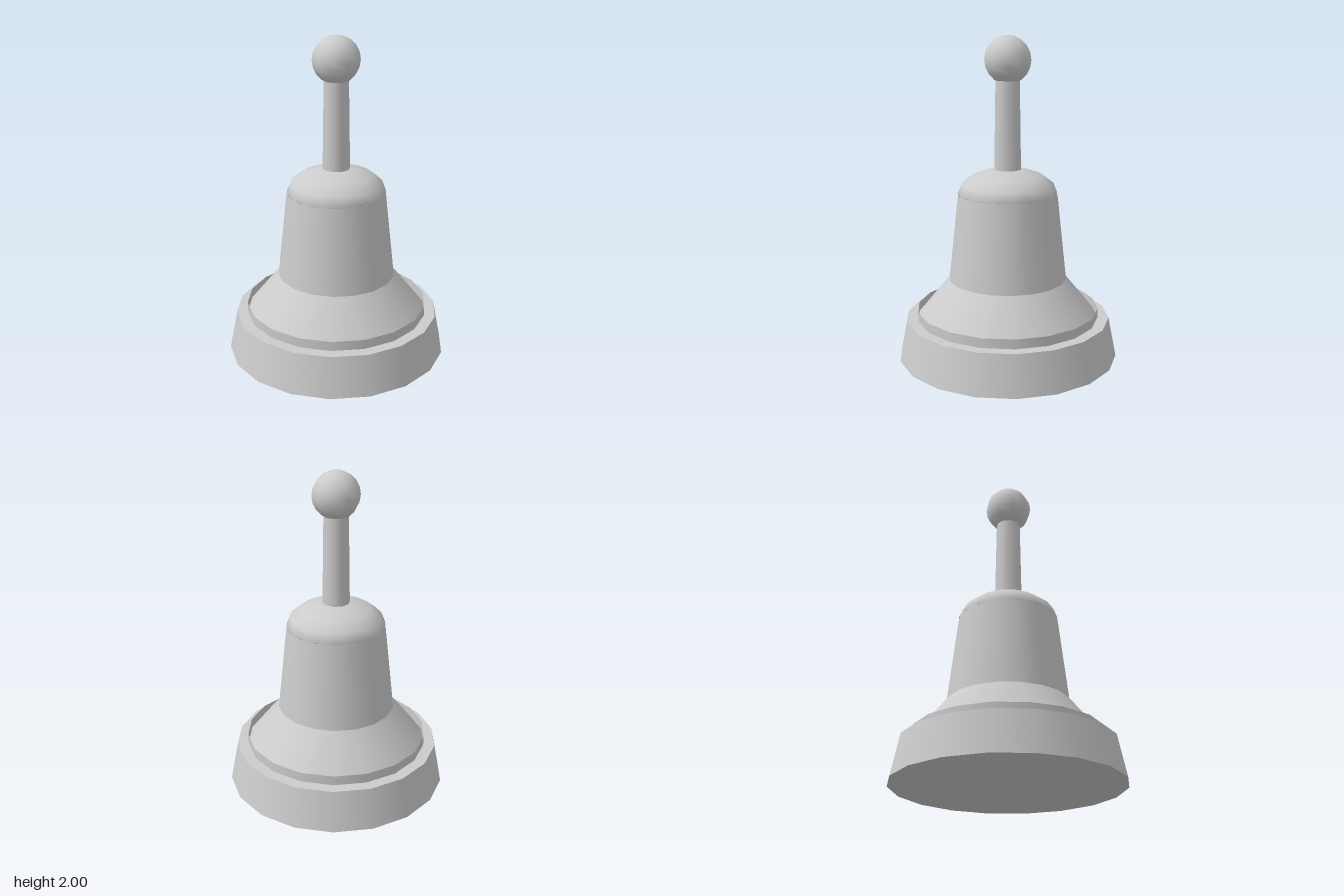
import * as THREE from 'three';

const solid = new THREE.MeshStandardMaterial({ color: 0xcccccc });
const shell = new THREE.MeshStandardMaterial({ color: 0xcccccc, side: THREE.DoubleSide });

// Tapered round section between heights y0 and y1, with a corner on the x axis
function section(name, r0, r1, y0, y1, sides, open) {
  const geometry = new THREE.CylinderGeometry(r1, r0, y1 - y0, sides, 1, open);
  geometry.rotateY(Math.PI / 2);
  geometry.translate(0, (y0 + y1) / 2, 0);
  const mesh = new THREE.Mesh(geometry, open ? shell : solid);
  mesh.name = name;
  return mesh;
}

export function createModel() {
  const group = new THREE.Group();
  group.name = 'handBell';

  // Base, thin raised collar and flared bell body
  group.add(
    section('base', 0.69, 0.64, 0, 0.25, 18, false),
    section('collar', 0.57, 0.57, 0.25, 0.31, 18, true),
    section('flare', 0.57, 0.368, 0.25, 0.5, 18, true),
    section('body', 0.368, 0.308, 0.5, 1.04, 18, true),
  );

  // Flattened half-sphere closing the body
  const domeGeometry = new THREE.SphereGeometry(1, 16, 4, 0, Math.PI * 2, 0, Math.PI / 2);
  domeGeometry.scale(0.308, 0.16, 0.308);
  const dome = new THREE.Mesh(domeGeometry, shell);
  dome.name = 'dome';
  dome.position.y = 1.04;
  group.add(dome);

  // Handle with a ball on top
  group.add(section('handle', 0.085, 0.075, 1.16, 1.76, 10, false));
  const knob = new THREE.Mesh(new THREE.SphereGeometry(0.145, 10, 10), solid);
  knob.name = 'knob';
  knob.position.y = 1.855;
  group.add(knob);

  return group;
}
